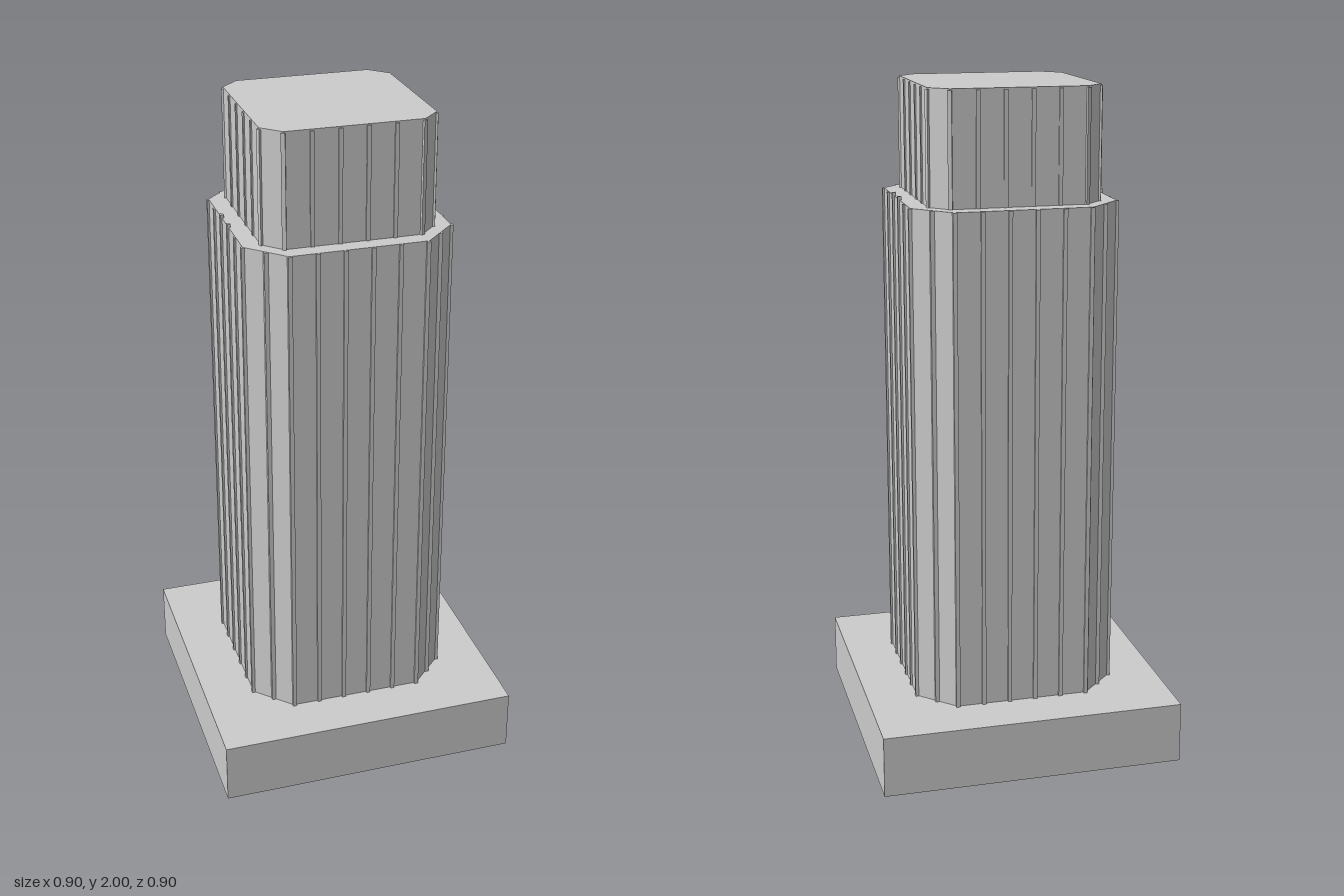
import * as THREE from 'three';

const BASE_TOP = 0.185, SHAFT_TOP = 1.67, CROWN_TOP = 2;

export function createModel() {
  const model = new THREE.Group();
  model.name = 'tower';
  const material = new THREE.MeshStandardMaterial({ color: 0xcccccc, flatShading: true });
  const thin = material.clone();
  thin.side = THREE.DoubleSide;

  const add = (parent, name, geometry, mat = material) => {
    const mesh = new THREE.Mesh(geometry, mat);
    mesh.name = name;
    parent.add(mesh);
    return mesh;
  };

  // Square with cut corners: half = wall distance, flat = half length of a straight wall
  const block = (name, half, flat, bottom, top) => {
    const shape = new THREE.Shape([
      [half, -flat], [half, flat], [flat, half], [-flat, half],
      [-half, flat], [-half, -flat], [-flat, -half], [flat, -half],
    ].map(([x, y]) => new THREE.Vector2(x, y)));
    const geometry = new THREE.ExtrudeGeometry(shape, { depth: top - bottom, bevelEnabled: false });
    geometry.rotateX(-Math.PI / 2).translate(0, bottom, 0);
    add(model, name, geometry);
  };

  // Vertical rib straddling a wall
  const rib = (parent, x, z, size, bottom, top, turn = 0) => {
    const mesh = add(parent, 'rib', new THREE.BoxGeometry(size[0], top - bottom, size[1]));
    mesh.position.set(x, (top + bottom) / 2, z);
    mesh.rotation.y = turn;
  };

  // Plinth: a thin shell, open underneath
  const plinth = new THREE.BoxGeometry(0.905, BASE_TOP, 0.905);
  const faces = Array.from(plinth.index.array);
  faces.splice(18, 6);
  plinth.setIndex(faces);
  plinth.clearGroups();
  plinth.translate(0, BASE_TOP / 2, 0);
  add(model, 'plinth', plinth, thin);

  block('shaft', 0.302, 0.2, BASE_TOP + 0.001, SHAFT_TOP);
  block('crown', 0.25, 0.198, SHAFT_TOP - 0.01, CROWN_TOP);

  // Ribs on the four walls and corner cuts
  for (let side = 0; side < 4; side++) {
    const shaftRibs = new THREE.Group(), crownRibs = new THREE.Group();
    shaftRibs.name = 'shaftRibs';
    crownRibs.name = 'crownRibs';
    shaftRibs.rotation.y = crownRibs.rotation.y = side * Math.PI / 2;
    for (let i = 0; i < 6; i++) {
      const x = -0.198 + i * 0.0792;
      // The middle ribs of the side walls stand slightly proud of the ledge
      const proud = side % 2 === 1 && (i === 2 || i === 3);
      rib(shaftRibs, x, 0.302, [0.012, 0.011], BASE_TOP, SHAFT_TOP + (proud ? 0.01 : -0.001));
      const turn = i === 0 ? -Math.PI / 8 : i === 5 ? Math.PI / 8 : 0;
      rib(crownRibs, x, 0.25, [0.012, 0.008], SHAFT_TOP, CROWN_TOP - 0.004, turn);
    }
    rib(shaftRibs, 0.251, 0.251, [0.012, 0.012], BASE_TOP, SHAFT_TOP - 0.001);
    model.add(shaftRibs, crownRibs);
  }
  return model;
}
